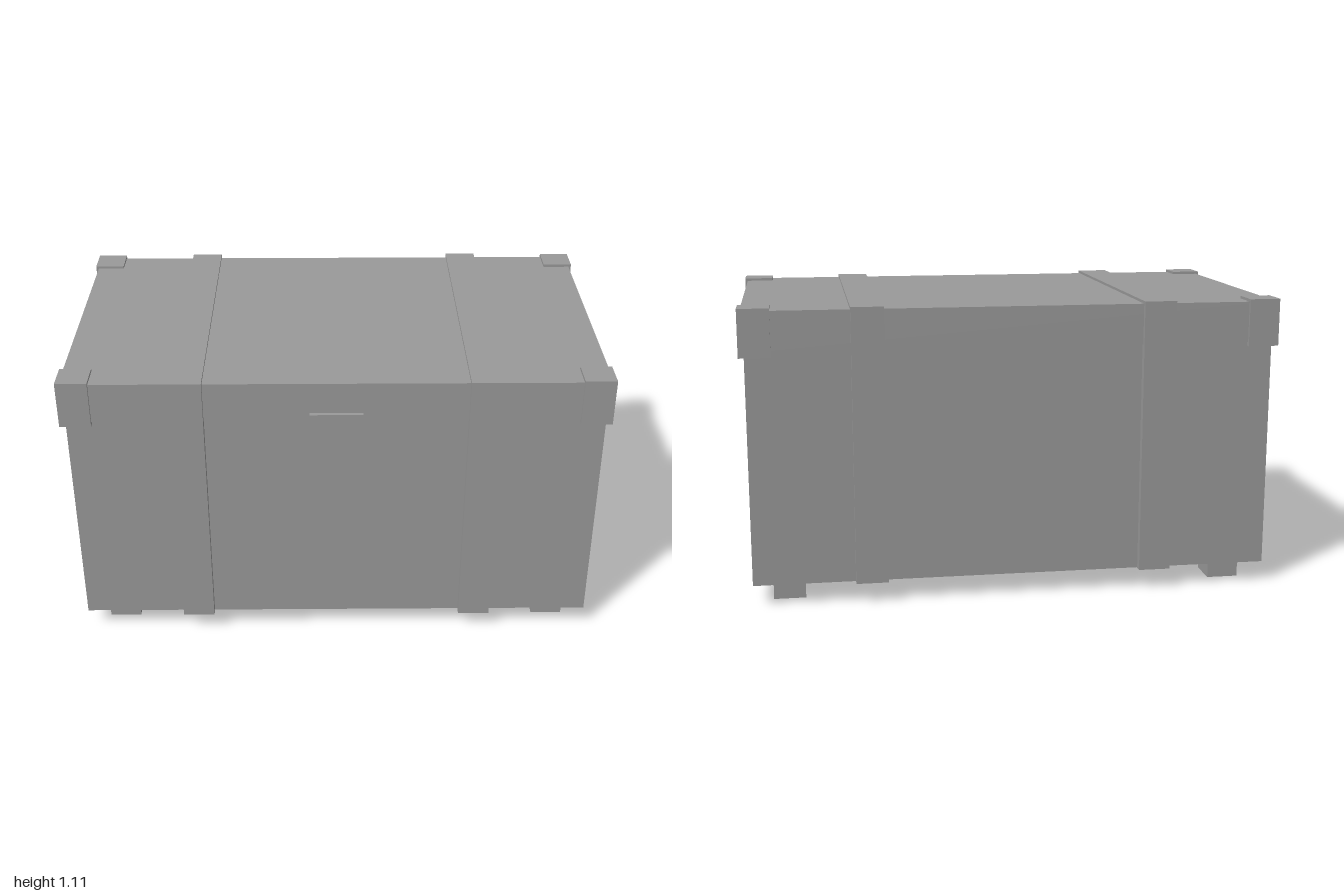
import * as THREE from 'three';

const grey = new THREE.MeshStandardMaterial({ color: 0x999999 });
grey.name = 'grey';

// Box given by its minimum and maximum corners
function box(name, [x0, y0, z0], [x1, y1, z1]) {
  const mesh = new THREE.Mesh(new THREE.BoxGeometry(x1 - x0, y1 - y0, z1 - z0), grey);
  mesh.position.set((x0 + x1) / 2, (y0 + y1) / 2, (z0 + z1) / 2);
  mesh.name = name;
  return mesh;
}

// U-shaped band running up the front, over the lid and down the back
function strap(x) {
  const z = 0.578, inner = 0.545, bottom = 0.078, top = 1.112, under = 1.09, width = 0.12;
  const shape = new THREE.Shape([
    [-z, bottom], [-inner, bottom], [-inner, under], [inner, under],
    [inner, bottom], [z, bottom], [z, top], [-z, top],
  ].map(([a, b]) => new THREE.Vector2(a, b)));
  const geometry = new THREE.ExtrudeGeometry(shape, { depth: width, bevelEnabled: false });
  geometry.translate(0, 0, -width / 2);
  geometry.rotateY(Math.PI / 2);
  const mesh = new THREE.Mesh(geometry, grey);
  mesh.position.x = x;
  mesh.name = 'strap';
  return mesh;
}

export function createModel() {
  const chest = new THREE.Group();
  chest.name = 'chest';

  // Body, overhanging lid and front latch
  chest.add(box('body', [-0.98, 0.08, -0.55], [0.98, 0.95, 0.55]));
  chest.add(box('lid', [-0.99, 0.95, -0.56], [0.99, 1.102, 0.56]));
  chest.add(box('latch', [-0.097, 0.812, 0.545], [0.097, 0.982, 0.575]));

  for (const sx of [-1, 1]) {
    chest.add(strap(sx * 0.54));

    // Lid corner caps and feet
    for (const sz of [-1, 1]) {
      const cap = box('cornerCap', [0.885, 0.935, 0.456], [1, 1.112, 0.57]);
      const foot = box('foot', [0.786, 0, 0.358], [0.906, 0.08, 0.478]);
      for (const part of [cap, foot]) {
        part.position.x *= sx;
        part.position.z *= sz;
        chest.add(part);
      }
    }
  }
  return chest;
}
